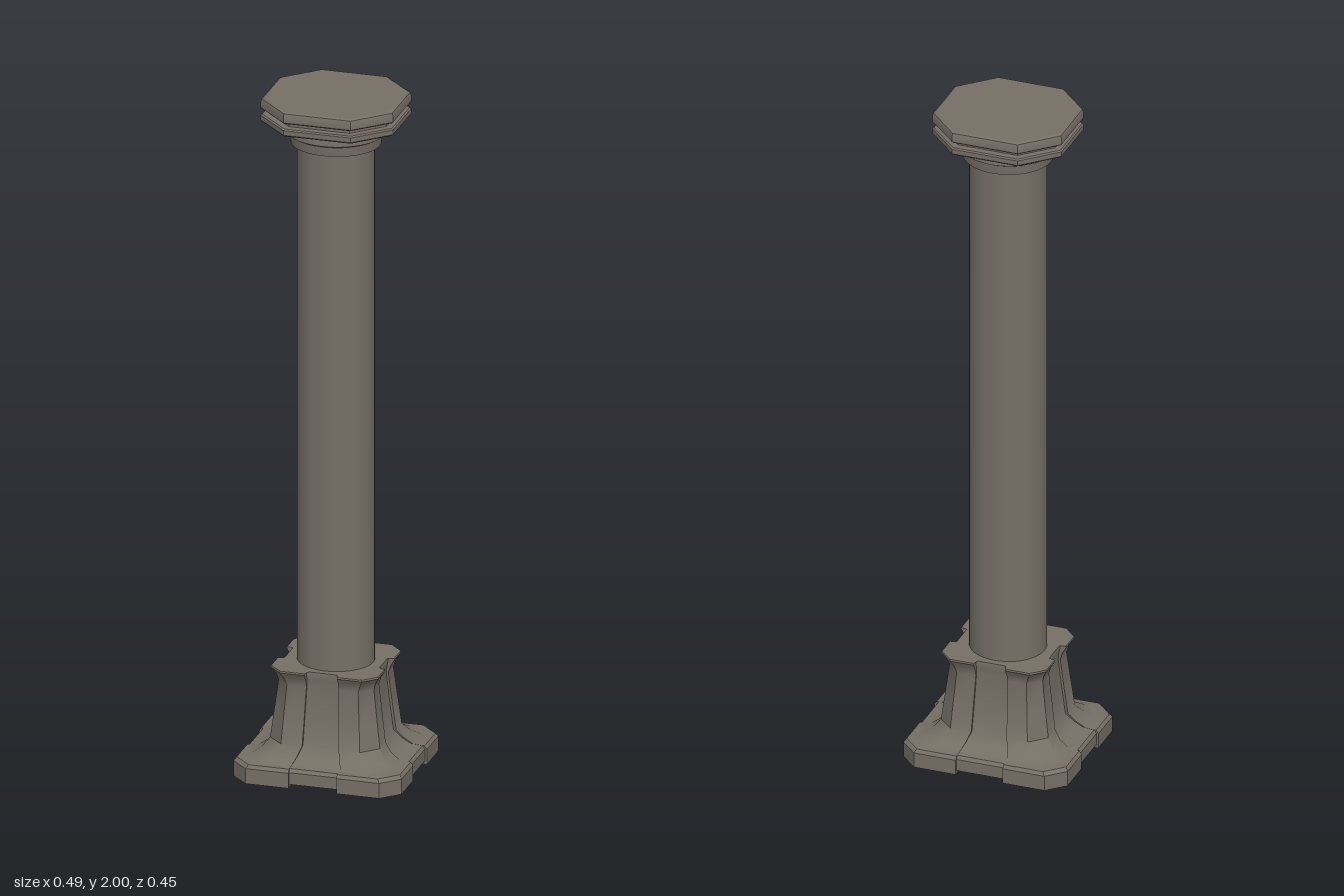
import * as THREE from 'three';
import { toCreasedNormals } from 'three/addons/utils/BufferGeometryUtils.js';

const stone = new THREE.MeshStandardMaterial({ color: 0x766f66 });
stone.name = 'warm grey stone';

// Chamfered rectangle, optionally with a shallow notch in the middle of each side
function ring({ hx, hz, c, nx = 0, nz = 0, r = 0 }) {
  const q = r > 0
    ? [[hx - r, nz], [hx, nz], [hx, hz - c], [hx - c, hz], [nx, hz], [nx, hz - r]]
    : [[hx, hz - c], [hx - c, hz]];
  const flip = (sx, sz) => q.map(([x, z]) => [x * sx, z * sz]);
  return [...q, ...flip(-1, 1).reverse(), ...flip(-1, -1), ...flip(1, -1).reverse()];
}

// Skin a stack of rings and close both ends
function loft(levels, crease = 0.5) {
  const pos = [], index = [];
  const rings = levels.map(ring), n = rings[0].length;
  rings.forEach((pts, l) => pts.forEach(([x, z]) => pos.push(x, levels[l].y, z)));
  for (let l = 0; l < rings.length - 1; l++) {
    for (let i = 0; i < n; i++) {
      const a = l * n + i, b = l * n + (i + 1) % n;
      index.push(a, a + n, b, a + n, b + n, b);
    }
  }
  const last = rings.length - 1, bottom = pos.length / 3, top = bottom + 1;
  pos.push(0, levels[0].y, 0, 0, levels[last].y, 0);
  for (let i = 0; i < n; i++) {
    const j = (i + 1) % n;
    index.push(bottom, i, j, top, last * n + j, last * n + i);
  }
  const g = new THREE.BufferGeometry();
  g.setAttribute('position', new THREE.Float32BufferAttribute(pos, 3));
  g.setIndex(index);
  return toCreasedNormals(g, crease);
}

export function createModel() {
  const model = new THREE.Group();
  model.name = 'column';
  const add = (name, geometry, y = 0) => {
    const mesh = new THREE.Mesh(geometry, stone);
    mesh.name = name;
    mesh.position.y = y;
    model.add(mesh);
    return mesh;
  };

  // Plinth and flared pedestal: y, half width, half depth, chamfer, notch half widths, notch depth
  const pedestal = [
    [0.01, 0.245, 0.225, 0.05, 0.07, 0.065, 0.006],
    [0.045, 0.245, 0.225, 0.05, 0.07, 0.065, 0.006],
    [0.055, 0.238, 0.218, 0.05, 0.07, 0.065, 0.006],
    [0.058, 0.205, 0.19, 0.045, 0.07, 0.064, 0.006],
    [0.075, 0.18, 0.168, 0.045, 0.062, 0.06, 0.008],
    [0.1, 0.16, 0.149, 0.045, 0.053, 0.05, 0.008],
    [0.18, 0.15, 0.139, 0.04, 0.05, 0.046, 0.007],
    [0.27, 0.139, 0.128, 0.035, 0.047, 0.044, 0.006],
    [0.29, 0.145, 0.133, 0.035, 0.047, 0.044, 0.01],
    [0.31, 0.157, 0.145, 0.037, 0.047, 0.044, 0.018],
    [0.315, 0.156, 0.144, 0.037, 0.047, 0.044, 0.018],
  ].map(([y, hx, hz, c, nx, nz, r]) => ({ y, hx, hz, c, nx, nz, r }));
  add('pedestal', loft(pedestal, 0.6));

  // Four shallow corner feet, leaving a cross-shaped channel underneath
  const foot = new THREE.Shape([[0.07, 0.065], [0.245, 0.065], [0.245, 0.175], [0.195, 0.225], [0.07, 0.225]]
    .map(([x, z]) => new THREE.Vector2(x, z)));
  for (const sx of [1, -1]) {
    for (const sz of [1, -1]) {
      const shape = new THREE.Shape(foot.getPoints().map(p => new THREE.Vector2(p.x * sx, -p.y * sz)));
      const g = new THREE.ExtrudeGeometry(shape, { depth: 0.012, bevelEnabled: false });
      add('cornerFoot', g.rotateX(-Math.PI / 2));
    }
  }

  // Round shaft, a touch shallower than wide
  const shaft = add('shaft', new THREE.CylinderGeometry(0.109, 0.109, 1.58, 48, 1, true), 1.09);
  shaft.scale.z = 0.97;

  // Moulded collar below the capital
  const profile = [[0.105, 1.86], [0.128, 1.86], [0.131, 1.888], [0.14, 1.893], [0.14, 1.9],
    [0.134, 1.918], [0.132, 1.928]].map(([r, y]) => new THREE.Vector2(r, y));
  const collar = add('collar', toCreasedNormals(new THREE.LatheGeometry(profile, 48), 0.5));
  collar.scale.z = 0.95;

  // Octagonal capital: two bevelled slabs with a groove between them
  const capital = [
    [1.922, 0.025], [1.929, 0.003], [1.933, 0], [1.947, 0], [1.951, 0.004], [1.952, 0.022],
    [1.965, 0.022], [1.966, 0.004], [1.97, 0], [1.988, 0], [1.996, 0.003], [2.0, 0.01],
  ].map(([y, inset]) => ({ y, hx: 0.193 - inset, hz: 0.181 - inset, c: 0.095 - inset * 0.586 }));
  add('capital', loft(capital));

  return model;
}
